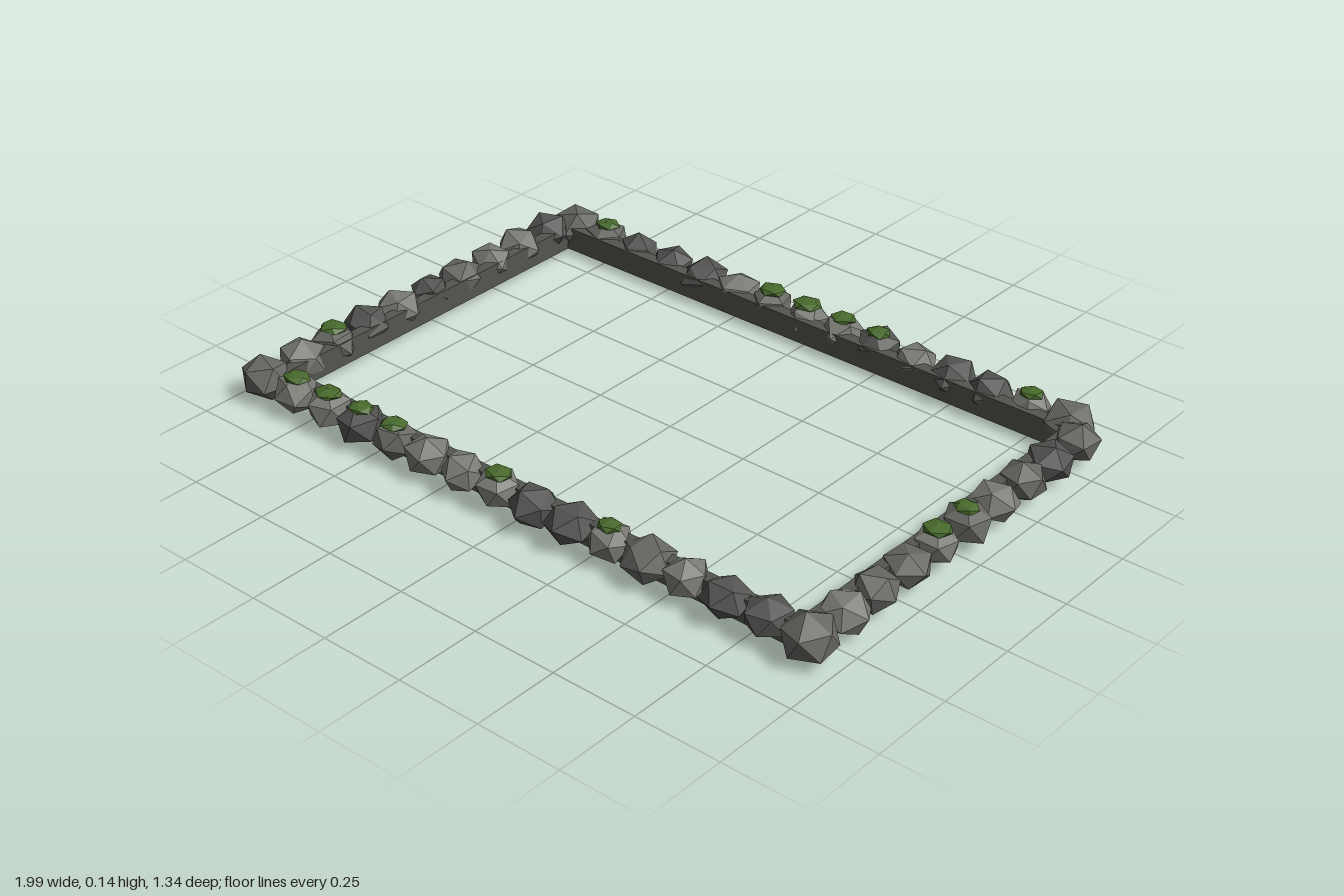
import * as THREE from 'three';

const mat = (name, color) => {
  const m = new THREE.MeshStandardMaterial({ color, flatShading: true });
  m.name = name;
  return m;
};

export function createModel() {
  const group = new THREE.Group();
  group.name = 'stoneBorder';
  const stoneMats = {
    l: mat('lightStone', 0x7a7a74),
    m: mat('midStone', 0x676763),
    d: mat('darkStone', 0x545452),
  };
  const moss = mat('moss', 0x486a2c);
  const curb = mat('curb', 0x555550);

  // Small seeded generator for the irregular stones
  let seed = 7;
  const rand = (a, b) => {
    seed = (seed * 16807) % 2147483647;
    return a + (b - a) * (seed / 2147483647);
  };

  // Faceted lump: icosahedron turned and dented by a smooth wave
  function lump(rx, ry, rz, dent) {
    const g = new THREE.IcosahedronGeometry(1, 0);
    const p = g.attributes.position, v = new THREE.Vector3();
    const k = rand(0, 6);
    for (let i = 0; i < p.count; i++) {
      v.fromBufferAttribute(p, i);
      v.multiplyScalar(1 + dent * Math.sin(3 * v.x + 4 * v.y + 5 * v.z + k));
      p.setXYZ(i, v.x, v.y, v.z);
    }
    g.rotateX(rand(0, 6));
    g.rotateY(rand(0, 6));
    g.scale(rx, ry, rz);
    g.computeVertexNormals();
    return g;
  }

  function add(name, geo, material, x, y, z) {
    const mesh = new THREE.Mesh(geo, material);
    mesh.name = name;
    mesh.position.set(x, y, z);
    group.add(mesh);
  }

  // Thin curb inside the ring of stones
  for (const s of [-1, 1]) {
    add('curbLong', new THREE.BoxGeometry(1.8, 0.07, 0.035), curb, 0, 0.057, s * 0.568);
    add('curbShort', new THREE.BoxGeometry(0.033, 0.07, 1.17), curb, s * 0.888, 0.057, 0);
  }

  // Rows of stones: l, m, d give the shade, a capital marks a moss cap
  const rows = [
    { name: 'frontStone', tones: 'mLLDMllLddLmlddm', from: [-0.92, 0.6], to: [0.92, 0.58] },
    { name: 'backStone', tones: 'mMdddlMLLDlddLm', from: [-0.885, -0.605], to: [0.86, -0.605] },
    { name: 'leftStone', tones: 'dllmdldMl', from: [-0.923, -0.52], to: [-0.923, 0.47] },
    { name: 'rightStone', tones: 'mdmlMLmml', from: [0.92, -0.54], to: [0.92, 0.45] },
  ];
  for (const { name, tones, from, to } of rows) {
    [...tones].forEach((c, i) => {
      const t = i / (tones.length - 1);
      const x = THREE.MathUtils.lerp(from[0], to[0], t);
      const z = THREE.MathUtils.lerp(from[1], to[1], t);
      const corner = name !== 'leftStone' && name !== 'rightStone' && (i === 0 || i === tones.length - 1);
      const r = corner ? 0.078 : rand(0.061, 0.074);
      const ry = corner ? 0.066 : rand(0.054, 0.06);
      add(name, lump(r, ry, r * rand(0.9, 1), 0.06), stoneMats[c.toLowerCase()], x, 0.073, z);
      if (c !== c.toLowerCase()) {
        const w = rand(0.034, 0.046);
        add('mossCap', lump(w, 0.014, w * 0.88, 0.05), moss, x, 0.118, z);
      }
    });
  }
  return group;
}
